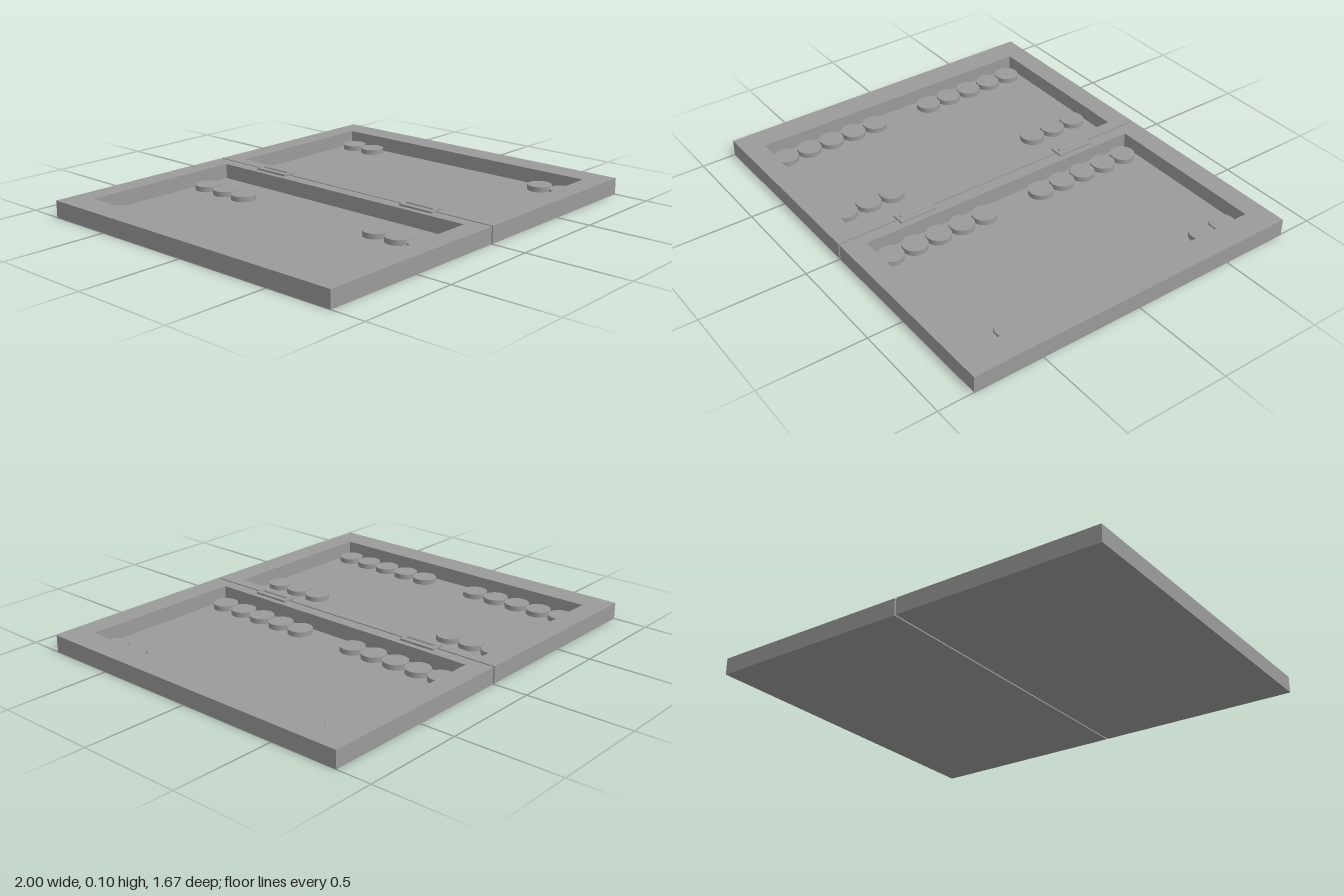
import * as THREE from 'three';

const material = new THREE.MeshStandardMaterial({ color: 0x9b9b9b });

function add(parent, name, geometry, x = 0, y = 0, z = 0) {
  const mesh = new THREE.Mesh(geometry, material);
  mesh.name = name;
  mesh.position.set(x, y, z);
  parent.add(mesh);
  return mesh;
}

// Rectangle outline in plan (x, z)
function rect(Type, x0, x1, z) {
  return new Type().moveTo(x0, -z).lineTo(x1, -z).lineTo(x1, z).lineTo(x0, z).closePath();
}

const HEIGHT = 0.08, FLOOR = 0.008, HALF_DEPTH = 0.833, HALF_GAP = 0.004;
const INNER_NEAR = 0.062, INNER_FAR = 0.872, INNER_DEPTH = 0.73;

// One half of the board: a rim with a recessed playing field
function createTray(side) {
  const tray = new THREE.Group();
  tray.name = side < 0 ? 'rightTray' : 'leftTray';
  const span = (a, b) => (side < 0 ? [-b, -a] : [a, b]);

  const shape = rect(THREE.Shape, ...span(HALF_GAP, 1), HALF_DEPTH);
  shape.holes.push(rect(THREE.Path, ...span(INNER_NEAR, INNER_FAR), INNER_DEPTH));
  const rim = new THREE.ExtrudeGeometry(shape, { depth: HEIGHT, bevelEnabled: false });
  rim.rotateX(-Math.PI / 2);
  add(tray, 'rim', rim);

  const width = INNER_FAR - INNER_NEAR;
  add(tray, 'playingField', new THREE.BoxGeometry(width, FLOOR, INNER_DEPTH * 2),
    side * (INNER_NEAR + width / 2), FLOOR / 2, 0);
  return tray;
}

export function createModel() {
  const model = new THREE.Group();
  model.name = 'foldingGameBoard';
  model.add(createTray(-1), createTray(1));

  // Checkers: columns mirrored front to back, counted from the outer rim
  const thickness = 0.025;
  const checkerGeometry = new THREE.CylinderGeometry(0.059, 0.059, thickness, 32);
  const checkers = new THREE.Group();
  checkers.name = 'checkers';
  model.add(checkers);
  for (const [x, count] of [[-0.802, 5], [-0.255, 3], [0.132, 5], [0.81, 2]]) {
    for (const end of [-1, 1]) {
      for (let i = 0; i < count; i++) {
        add(checkers, 'checker', checkerGeometry, x, FLOOR + thickness / 2, end * (0.656 - i * 0.124));
      }
    }
  }

  // Hinges bridging the gap between the trays
  for (const end of [-1, 1]) {
    const hinge = new THREE.Group();
    hinge.name = end < 0 ? 'backHinge' : 'frontHinge';
    hinge.position.set(0, HEIGHT, end * 0.445);
    add(hinge, 'hingePlate', new THREE.BoxGeometry(0.07, 0.009, 0.184), 0, 0.0045, 0);
    const pin = new THREE.CylinderGeometry(0.007, 0.007, 0.15, 16).rotateX(Math.PI / 2);
    add(hinge, 'hingePin', pin, 0, 0.01, 0);
    model.add(hinge);
  }
  return model;
}
